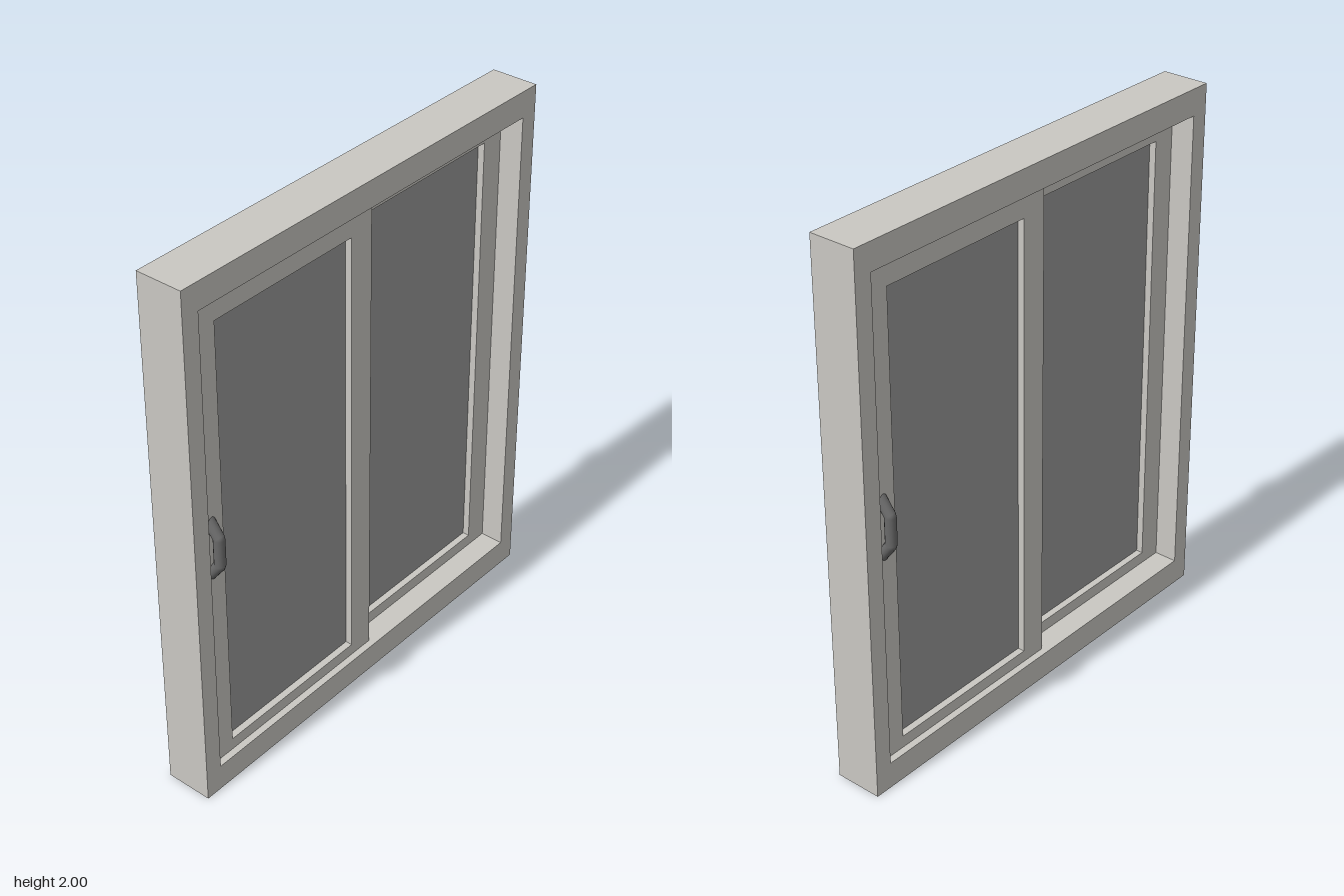
import * as THREE from 'three';

const frameMat = new THREE.MeshStandardMaterial({ color: 0xc9c7c2 });
frameMat.name = 'warm grey frame';
const glassMat = new THREE.MeshStandardMaterial({ color: 0x999999 });
glassMat.name = 'grey glass';
const handleMat = new THREE.MeshStandardMaterial({ color: 0x696969 });
handleMat.name = 'dark grey handle';

// Rectangular ring between an outer and an inner [x0, y0, x1, y1], from z0 to z1
function ring(name, outer, inner, z0, z1) {
  const trace = (path, [x0, y0, x1, y1]) =>
    path.moveTo(x0, y0).lineTo(x1, y0).lineTo(x1, y1).lineTo(x0, y1).closePath();
  const shape = trace(new THREE.Shape(), outer);
  shape.holes.push(trace(new THREE.Path(), inner));
  const geo = new THREE.ExtrudeGeometry(shape, { depth: z1 - z0, bevelEnabled: false });
  geo.translate(0, 0, z0);
  const mesh = new THREE.Mesh(geo, frameMat);
  mesh.name = name;
  return mesh;
}

// One sliding panel: sash, glass and pull handle
function slidingPanel(name) {
  const panel = new THREE.Group();
  panel.name = name;
  const opening = [-0.698, 0.145, -0.071, 1.815];
  panel.add(ring('sash', [-0.788, 0.1, 0.027, 1.902], opening, 0.0005, 0.062));

  const [x0, y0, x1, y1] = opening;
  const glass = new THREE.Mesh(new THREE.BoxGeometry(x1 - x0, y1 - y0, 0.01), glassMat);
  glass.position.set((x0 + x1) / 2, (y0 + y1) / 2, 0.031);
  glass.name = 'glass';
  panel.add(glass);

  // Bent bar handle, its ends sunk in the stile
  const points = [[0.885, 0.045], [0.944, 0.09], [1.051, 0.09], [1.11, 0.045]]
    .map(([y, z]) => new THREE.Vector3(-0.748, y, z));
  const path = new THREE.CurvePath();
  for (let i = 0; i < 3; i++) path.add(new THREE.LineCurve3(points[i], points[i + 1]));
  const handle = new THREE.Mesh(new THREE.TubeGeometry(path, 60, 0.02, 14), handleMat);
  handle.name = 'handle';
  panel.add(handle);
  return panel;
}

export function createModel() {
  const model = new THREE.Group();
  model.name = 'slidingWindow';
  model.add(ring('outerFrame', [-0.855, 0, 0.855, 2], [-0.788, 0.1, 0.788, 1.902], -0.088, 0.088));

  // The back panel is the front one turned half way round
  const front = slidingPanel('frontPanel');
  const back = slidingPanel('backPanel');
  back.rotation.y = Math.PI;
  model.add(front, back);
  return model;
}
